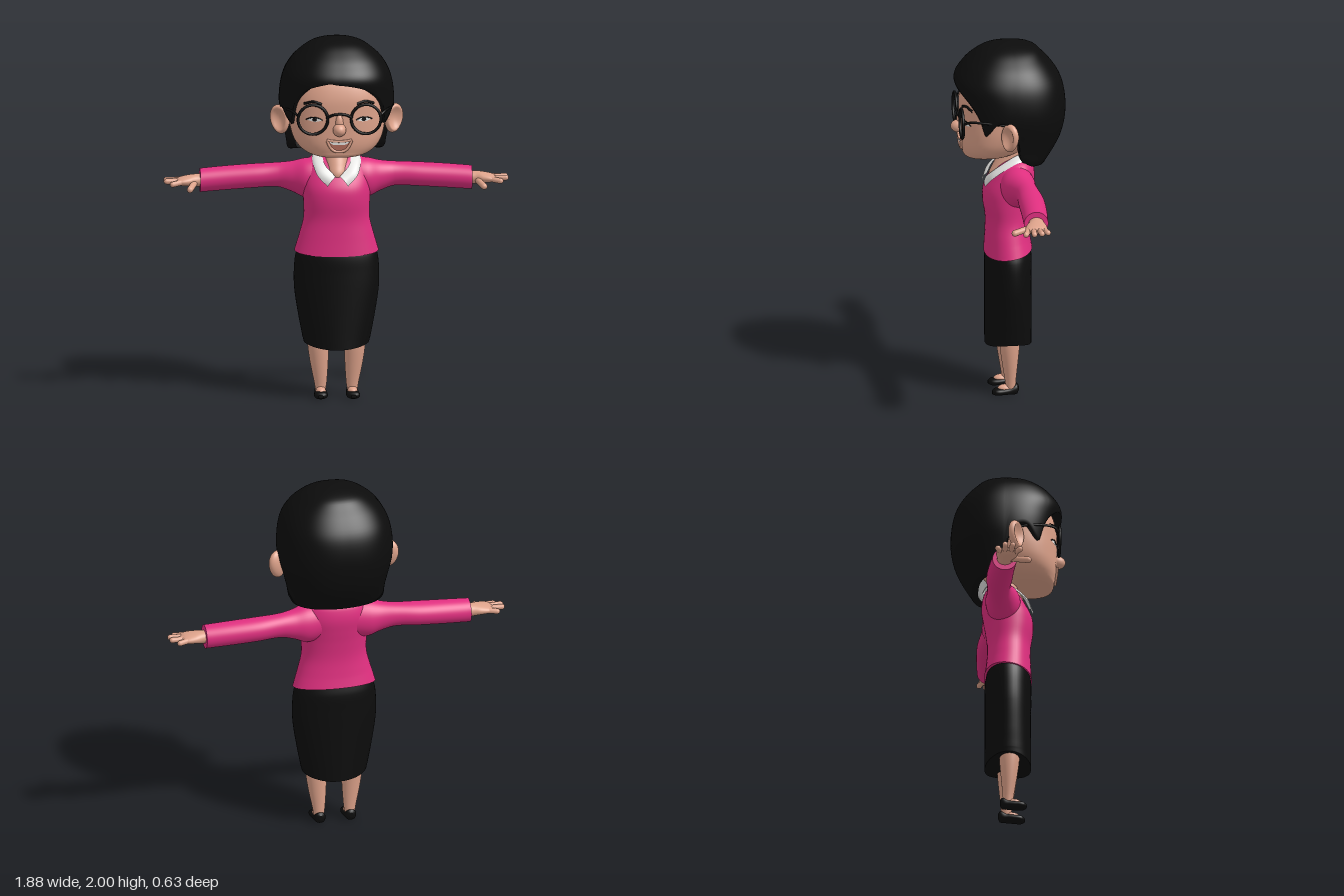
import * as THREE from 'three';

const paint = (name, color, side = THREE.FrontSide) => {
  const m = new THREE.MeshStandardMaterial({ color, side });
  m.name = name;
  return m;
};

// Smooth interpolation of table rows, keyed on their first column
function sample(rows, key) {
  const last = rows.length - 1;
  let k = 0;
  while (k < last - 1 && rows[k + 1][0] < key) k++;
  const a = rows[k], b = rows[k + 1], h = b[0] - a[0];
  const t = THREE.MathUtils.clamp((key - a[0]) / h, 0, 1);
  const p = rows[Math.max(k - 1, 0)], q = rows[Math.min(k + 2, last)];
  return a.map((v, c) => {
    const m0 = (b[c] - p[c]) / (b[0] - p[0]) * h, m1 = (q[c] - v) / (q[0] - a[0]) * h;
    const t2 = t * t, t3 = t2 * t;
    return (2 * t3 - 3 * t2 + 1) * v + (t3 - 2 * t2 + t) * m0 + (3 * t2 - 2 * t3) * b[c] + (t3 - t2) * m1;
  });
}

// Surface from f(u, v) -> [x, y, z]; may be closed around u and capped at both ends of v
function grid(nu, nv, f, closed = false, caps = false) {
  const pos = [], idx = [], cols = closed ? nu : nu + 1;
  for (let j = 0; j <= nv; j++) for (let i = 0; i < cols; i++) pos.push(...f(i / nu, j / nv));
  for (let j = 0; j < nv; j++) for (let i = 0; i < nu; i++) {
    const a = j * cols + i, b = j * cols + (i + 1) % cols;
    idx.push(a, b, b + cols, a, b + cols, a + cols);
  }
  if (caps) for (const j of [0, nv]) {
    const ring = pos.slice(j * cols * 3, (j + 1) * cols * 3), base = pos.length / 3, mid = [0, 0, 0];
    ring.forEach((v, i) => { mid[i % 3] += v / cols; });
    pos.push(...ring, ...mid);
    for (let i = 0; i < cols; i++) {
      const a = base + i, b = base + (i + 1) % cols;
      idx.push(base + cols, j ? a : b, j ? b : a);
    }
  }
  const g = new THREE.BufferGeometry();
  g.setAttribute('position', new THREE.Float32BufferAttribute(pos, 3));
  g.setIndex(idx);
  g.computeVertexNormals();
  return g;
}

const power = (v, n) => Math.sign(v) * Math.abs(v) ** (2 / n);

// Loft along axis 0/1/2; rows are [along, centreU, centreV, radiusU, radiusV], (axis, U, V) in cyclic order
function loft(axis, rows, n = 2, warp = null) {
  const spans = rows.length - 1;
  return grid(48, spans * 5, (u, v) => {
    const k = Math.min(Math.floor(v * spans + 1e-6), spans - 1);
    const r = sample(rows, THREE.MathUtils.lerp(rows[k][0], rows[k + 1][0], v * spans - k));
    const p = [0, 0, 0], a = u * Math.PI * 2;
    p[axis] = r[0];
    p[(axis + 1) % 3] = r[1] + r[3] * power(Math.cos(a), n);
    p[(axis + 2) % 3] = r[2] + r[4] * power(Math.sin(a), n);
    if (warp) warp(p);
    return p;
  }, true, true);
}

const vec = (p) => (p.isVector3 ? p : new THREE.Vector3(...p));
const path = (pts) => new THREE.CatmullRomCurve3(pts.map(vec));
const tube = (pts, r) => new THREE.TubeGeometry(path(pts), 24, r, 8);

// Strip between two curves, bulged outward from the neck axis in the middle
function ribbon(ptsA, ptsB, bulge = 0, n = 32) {
  const A = path(ptsA), B = path(ptsB);
  return grid(n, 6, (u, v) => {
    const p = A.getPoint(u).lerp(B.getPoint(u), v);
    const out = new THREE.Vector3(p.x, 0.03, p.z + 0.02).normalize();
    return p.addScaledVector(out, bulge * Math.sin(v * Math.PI)).toArray();
  });
}

function capsule(from, to, r) {
  const a = vec(from), d = vec(to).sub(a);
  const g = new THREE.CapsuleGeometry(r, d.length(), 6, 14);
  g.applyQuaternion(new THREE.Quaternion().setFromUnitVectors(new THREE.Vector3(0, 1, 0), d.clone().normalize()));
  return g.translate(a.x + d.x / 2, a.y + d.y / 2, a.z + d.z / 2);
}

const ball = (x, y, z, rx, ry, rz) => new THREE.SphereGeometry(1, 28, 20).scale(rx, ry, rz).translate(x, y, z);

function mirrored(geo) {
  const g = geo.clone().scale(-1, 1, 1), i = g.index.array;
  for (let k = 0; k < i.length; k += 3) [i[k], i[k + 1]] = [i[k + 1], i[k]];
  return g;
}

const HEAD_N = 2.4;
const headRows = [
  [1.363, 0.16, 0, 0.03, 0.03], [1.372, 0.14, 0, 0.1, 0.12], [1.4, 0.105, 0, 0.15, 0.19],
  [1.45, 0.075, 0, 0.19, 0.235], [1.52, 0.05, 0, 0.217, 0.258], [1.6, 0.035, 0, 0.233, 0.265],
  [1.7, 0.025, 0, 0.24, 0.265], [1.8, 0.01, 0, 0.22, 0.235], [1.88, 0, 0, 0.16, 0.16], [1.92, 0, 0, 0.06, 0.06]];

// Point lying on the face, lifted forward a little
function onFace(x, y, lift = 0.004) {
  const [, z, , rz, rx] = sample(headRows, y);
  return new THREE.Vector3(x, y, z + lift + rz * (1 - Math.abs(x / rx) ** HEAD_N) ** (1 / HEAD_N));
}
const faceLine = (x0, x1, yOf, lift) => Array.from({ length: 13 }, (_, i) => {
  const u = i / 6 - 1;
  return onFace(x0 + (x1 - x0) * i / 12, yOf(u), lift);
});

// Hair shell: outline by height, cut off at a hem that depends on the angle from the front
const hairRows = [[2, 0, 0, 0], [1.975, 0.13, 0.13, 0.14], [1.93, 0.2, 0.2, 0.19], [1.88, 0.25, 0.25, 0.235],
  [1.8, 0.293, 0.295, 0.285], [1.7, 0.312, 0.275, 0.307], [1.6, 0.31, 0.255, 0.307], [1.5, 0.287, 0.245, 0.285],
  [1.42, 0.272, 0.24, 0.245], [1.34, 0.27, 0.24, 0.19]].map(([y, ...r]) => [Math.sqrt(2 - y), ...r]);
const hemRows = [[0, 1.79], [25, 1.755], [40, 1.7], [48, 1.64], [54, 1.55], [60, 1.56], [72, 1.62], [84, 1.62],
  [90, 1.58], [95, 1.42], [102, 1.385], [118, 1.36], [180, 1.345]];
function hairGeometry() {
  const N = 36;
  return grid(180, N, (u, v) => {
    const a = (u * 2 - 1) * Math.PI, deg = THREE.MathUtils.radToDeg(a);
    const hem = sample(hemRows, Math.abs(deg + 8 * Math.max(0, 1 - Math.abs(deg) / 50)))[1];
    const j = Math.round(v * N), rim = j === 0 ? 0.82 : 1;
    const q = Math.sqrt(2 - hem) * (1 - Math.max(j - 1, 0) / (N - 1));
    const [, rx, zf, zb] = sample(hairRows, q), c = Math.cos(a);
    return [rim * rx * power(Math.sin(a), HEAD_N), 2 - q * q + (j ? 0 : 0.006),
      rim * (c > 0 ? zf : zb) * power(c, HEAD_N)];
  }, true);
}

function earGeometry() {
  const g = new THREE.SphereGeometry(1, 32, 24), p = g.attributes.position;
  for (let i = 0; i < p.count; i++) {
    const r = Math.hypot(p.getX(i), p.getY(i));
    if (p.getZ(i) > 0) p.setZ(i, p.getZ(i) - 1.1 * Math.max(0, 1 - (r / 0.8) ** 2));
    p.setX(i, p.getX(i) * (0.9 + 0.1 * p.getY(i)));
  }
  g.scale(0.065, 0.081, 0.035).rotateZ(-0.15).rotateY(0.6).translate(0.31, 1.55, 0.03);
  g.computeVertexNormals();
  return g;
}

export function createModel() {
  const skin = paint('skin', 0xdda28a), pink = paint('pink', 0xdf2f7f);
  const black = paint('black', 0x0c0c0c, THREE.DoubleSide), white = paint('white', 0xe6e6e4, THREE.DoubleSide);
  const mouthRed = paint('mouthRed', 0xb8705f, THREE.DoubleSide);
  const model = new THREE.Group();
  model.name = 'woman';
  const add = (name, geo, mat) => {
    const m = new THREE.Mesh(geo, mat);
    m.name = name;
    model.add(m);
  };
  const pair = (name, geo, mat) => {
    add(name + 'Left', geo, mat);
    add(name + 'Right', mirrored(geo), mat);
  };

  // Head and hair
  add('head', loft(1, headRows, HEAD_N), skin);
  add('hair', hairGeometry(), black);
  pair('ear', earGeometry(), skin);
  add('nose', ball(0, 1.53, 0.272, 0.036, 0.036, 0.045), skin);
  add('noseBridge', ball(0, 1.565, 0.262, 0.022, 0.05, 0.022), skin);

  // Face details
  pair('brow', tube([onFace(0.095, 1.672), onFace(0.14, 1.684), onFace(0.19, 1.67)], 0.007), black);
  pair('eyeWhite', ribbon(faceLine(0.095, 0.175, (u) => 1.584 + 0.013 * (1 - u * u), 0.003),
    faceLine(0.095, 0.175, (u) => 1.584 - 0.01 * (1 - u * u), 0.003)), white);
  pair('iris', ribbon(faceLine(0.122, 0.148, (u) => 1.585 + 0.011 * Math.sqrt(1 - u * u), 0.006),
    faceLine(0.122, 0.148, (u) => 1.585 - 0.009 * Math.sqrt(1 - u * u), 0.006)), black);
  pair('lash', tube(faceLine(0.092, 0.18, (u) => 1.584 + 0.014 * (1 - u * u), 0.004), 0.003), black);
  const lipTop = (u) => 1.466 + 0.008 * u * u, lipLow = (u) => 1.408 + 0.066 * Math.abs(u) ** 3;
  add('mouth', ribbon(faceLine(-0.066, 0.066, lipTop), faceLine(-0.066, 0.066, lipLow)), mouthRed);
  add('teeth', ribbon(faceLine(-0.06, 0.06, lipTop, 0.008),
    faceLine(-0.06, 0.06, (u) => 1.447 + 0.024 * u ** 4, 0.008)), white);
  add('upperLip', tube(faceLine(-0.068, 0.068, lipTop), 0.007), skin);
  add('lowerLip', tube(faceLine(-0.068, 0.068, lipLow), 0.008), skin);

  // Glasses
  pair('glassesRim', new THREE.TorusGeometry(0.081, 0.008, 10, 48).translate(0.145, 1.59, 0.274), black);
  add('glassesBridge', tube([[-0.067, 1.6, 0.276], [-0.03, 1.617, 0.284], [0.03, 1.617, 0.284], [0.067, 1.6, 0.276]], 0.007), black);
  pair('glassesArm', tube([[0.224, 1.61, 0.272], [0.25, 1.628, 0.24], [0.282, 1.625, 0.13], [0.285, 1.61, 0.03]], 0.007), black);

  // Neck and collar
  add('neck', loft(1, [[1.2, 0, 0, 0.09, 0.05], [1.25, 0.02, 0, 0.087, 0.062], [1.3, 0.005, 0, 0.08, 0.068],
    [1.37, -0.015, 0, 0.068, 0.065], [1.46, -0.01, 0, 0.07, 0.07]]), skin);
  pair('collar', ribbon(
    [[0, 1.385, -0.09], [0.055, 1.378, -0.07], [0.076, 1.355, -0.01], [0.066, 1.3, 0.07], [0.012, 1.243, 0.118]],
    [[0, 1.335, -0.137], [0.09, 1.34, -0.105], [0.13, 1.338, -0.03], [0.112, 1.25, 0.1], [0.055, 1.19, 0.134]], 0.012), white);

  // Sweater, hem rising towards the back
  add('sweater', loft(1, [[0.8, 0.0025, 0, 0.13, 0.23], [0.9, 0.005, 0, 0.122, 0.206], [1, 0.008, 0, 0.118, 0.181],
    [1.1, 0.01, 0, 0.13, 0.182], [1.17, 0.002, 0, 0.134, 0.185], [1.24, -0.02, 0, 0.122, 0.185],
    [1.3, -0.035, 0, 0.1, 0.165], [1.335, -0.045, 0, 0.073, 0.125], [1.355, -0.05, 0, 0.045, 0.075]], 2.15, (p) => {
    if (p[1] < 0.9) p[1] += (0.9 - p[1]) * 1.5 * (0.13 - p[2]);
  }), pink);
  pair('sleeve', loft(0, [[0.08, 1.22, -0.03, 0.105, 0.09], [0.17, 1.212, -0.035, 0.108, 0.095],
    [0.24, 1.218, -0.05, 0.084, 0.076], [0.32, 1.225, -0.065, 0.067, 0.064], [0.45, 1.219, -0.07, 0.066, 0.071],
    [0.6, 1.21, -0.066, 0.066, 0.07], [0.742, 1.2, -0.057, 0.065, 0.067]]), pink);

  // Hands
  pair('palm', loft(0, [[0.7, 1.2, -0.058, 0.035, 0.042], [0.76, 1.2, -0.056, 0.035, 0.044],
    [0.8, 1.2, -0.05, 0.031, 0.057], [0.85, 1.198, -0.045, 0.023, 0.06], [0.875, 1.198, -0.045, 0.01, 0.045]]), skin);
  const fingers = [[-0.087, 0.89, -0.103, 1.195], [-0.06, 0.925, -0.066, 1.202], [-0.03, 0.926, -0.024, 1.2], [-0.004, 0.895, 0.018, 1.19]];
  fingers.forEach(([z0, x, z1, y], i) => pair('finger' + (i + 1), capsule([0.84, 1.198, z0], [x, y, z1], 0.0155), skin));
  pair('thumb', capsule([0.775, 1.188, -0.02], [0.803, 1.17, 0.068], 0.0175), skin);

  // Skirt, hem arched at the sides
  add('skirt', loft(1, [[0.28, 0.002, 0, 0.127, 0.178], [0.34, 0.002, 0, 0.127, 0.186], [0.45, 0.002, 0, 0.127, 0.207],
    [0.6, 0.002, 0, 0.127, 0.23], [0.7, 0.002, 0, 0.127, 0.233], [0.79, 0.002, 0, 0.126, 0.225], [0.85, 0.002, 0, 0.114, 0.205]], 2.1, (p) => {
    if (p[1] < 0.34) p[1] += (0.34 - p[1]) * 0.5 * (1 - (p[2] / 0.13) ** 2);
  }), black);

  // Legs and shoes
  pair('leg', loft(1, [[0.03, -0.003, 0.087, 0.026, 0.026], [0.08, -0.001, 0.087, 0.03, 0.034], [0.2, 0.003, 0.095, 0.045, 0.05],
    [0.3, 0.005, 0.1, 0.055, 0.058], [0.42, 0.005, 0.1, 0.055, 0.06]]), skin);
  pair('instep', ball(0.087, 0.04, 0.026, 0.028, 0.022, 0.044), skin);
  pair('shoe', loft(2, [[-0.046, 0.086, 0.038, 0.01, 0.014], [-0.036, 0.086, 0.036, 0.028, 0.03], [0, 0.087, 0.027, 0.033, 0.023],
    [0.04, 0.087, 0.023, 0.037, 0.02], [0.08, 0.089, 0.021, 0.034, 0.019], [0.1, 0.09, 0.019, 0.014, 0.009]], 2.3), black);

  return model;
}
